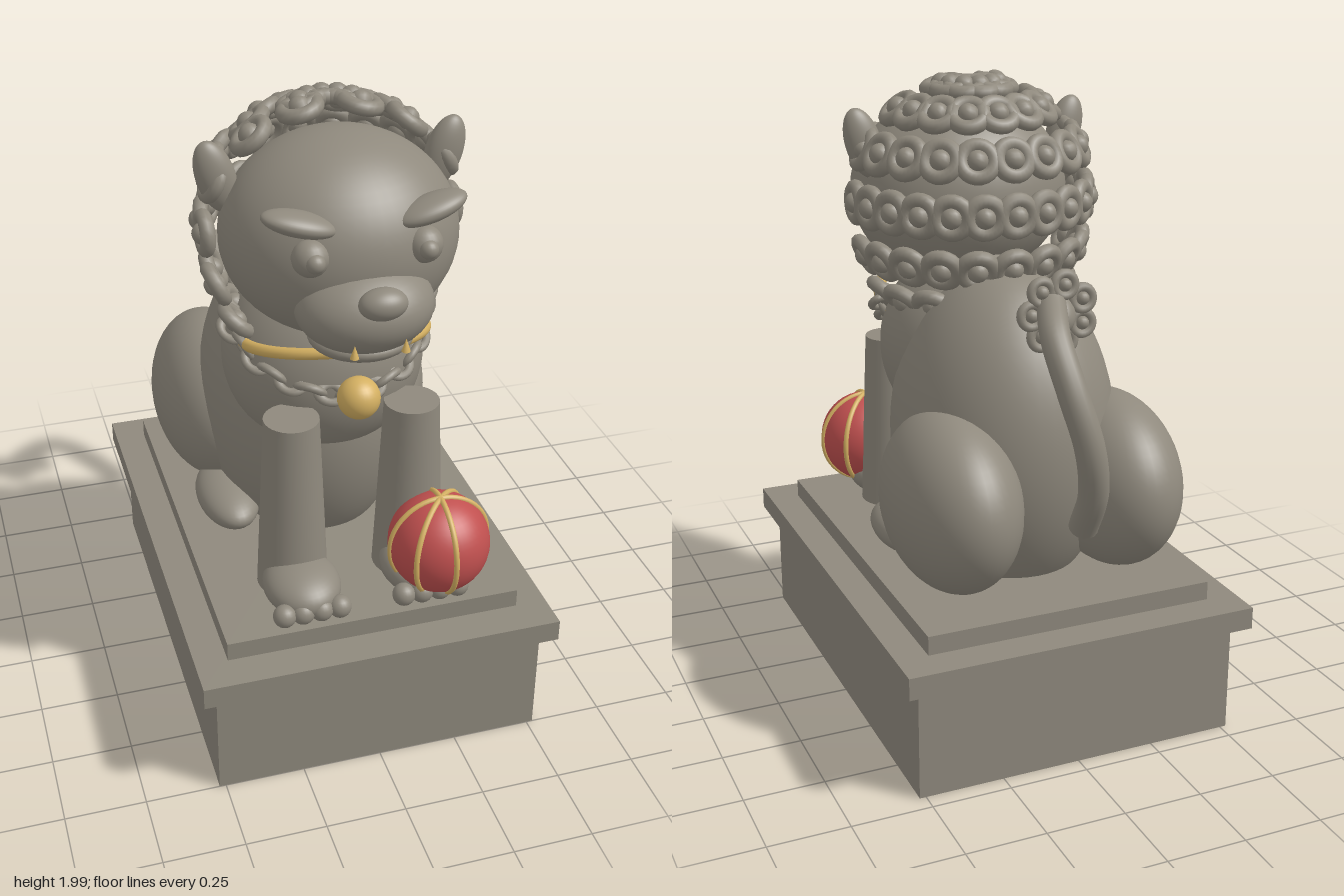
import * as THREE from 'three';

export function createModel() {
  const root = new THREE.Group();
  root.name = 'guardianLion';

  const material = (name, color) => {
    const m = new THREE.MeshStandardMaterial({ color });
    m.name = name;
    return m;
  };
  const stone = material('stone', 0x8f897d);
  const red = material('red', 0xc0504f);
  const gold = material('gold', 0xd4b062);

  const add = (name, geometry, mat, pos, rot = [0, 0, 0], parent = root) => {
    const mesh = new THREE.Mesh(geometry, mat);
    mesh.name = name;
    mesh.position.set(...pos);
    mesh.rotation.set(...rot);
    parent.add(mesh);
    return mesh;
  };
  const box = (name, w, h, d, pos) => add(name, new THREE.BoxGeometry(w, h, d), stone, pos);
  // Ellipsoid given by its three radii
  const blob = (name, r, pos, rot, mat = stone, seg = 36) =>
    add(name, new THREE.SphereGeometry(1, seg, Math.round(seg * 0.65)).scale(...r), mat, pos, rot);
  const ball = (name, r, pos, mat = stone, seg = 20) => blob(name, [r, r, r], pos, [0, 0, 0], mat, seg);

  // Stepped pedestal
  box('pedestalBlock', 1.04, 0.36, 1.445, [0, 0.18, 0.027]);
  box('pedestalSlab', 1.13, 0.07, 1.535, [0, 0.395, 0.022]);
  box('pedestalTop', 0.93, 0.06, 1.315, [0, 0.46, 0.02]);

  // Torso
  blob('body', [0.35, 0.55, 0.415], [0, 0.88, -0.1], [0, 0, 0], stone, 48);
  blob('chest', [0.32, 0.33, 0.3], [0, 1.13, 0.1], [0, 0, 0], stone, 48);

  // Head and muzzle
  blob('head', [0.355, 0.305, 0.33], [0, 1.605, 0.26], [0, 0, 0], stone, 48);
  blob('muzzle', [0.203, 0.132, 0.175], [0, 1.485, 0.51]);
  blob('nose', [0.07, 0.046, 0.05], [0, 1.565, 0.675]);
  blob('lowerJaw', [0.155, 0.052, 0.15], [0, 1.375, 0.48]);

  // Mirrored parts
  for (const s of [1, -1]) {
    const side = s > 0 ? 'left' : 'right';
    ball(side + 'Eye', 0.054, [s * 0.165, 1.66, 0.535]);
    ball(side + 'Pupil', 0.028, [s * 0.163, 1.662, 0.578]);
    blob(side + 'Brow', [0.11, 0.034, 0.06], [s * 0.19, 1.755, 0.51], [0, s * 0.1, s * 0.26]);
    blob(side + 'Ear', [0.058, 0.115, 0.042], [s * 0.345, 1.78, 0.19], [0, 0, -s * 0.3]);
    add(side + 'Fang', new THREE.ConeGeometry(0.013, 0.04, 12), gold, [s * 0.075, 1.42, 0.662]);

    // Front legs, paws and toes
    add(side + 'FrontLeg', new THREE.CylinderGeometry(0.085, 0.112, 0.6, 32), stone, [s * 0.19, 0.78, 0.415]);
    blob(side + 'FrontPaw', [0.12, 0.075, 0.145], [s * 0.19, 0.545, 0.52]);
    for (let i = 0; i < 4; i++) {
      ball(side + 'Toe', 0.036, [s * 0.19 + (i - 1.5) * 0.058, 0.527, 0.64]);
    }

    // Haunches and hind paws
    blob(side + 'Haunch', [0.2, 0.28, 0.33], [s * 0.27, 0.765, -0.325], [0, 0, 0], stone, 44);
    blob(side + 'HindPaw', [0.1, 0.068, 0.185], [s * 0.3, 0.555, 0]);
  }

  // Curl: a ring with a bead in the middle, facing a target point
  const curl = (name, ringR, tubeR, beadR, pos, target) => {
    const g = new THREE.Group();
    g.name = name;
    g.position.set(...pos);
    g.lookAt(...target);
    add('curlRing', new THREE.TorusGeometry(ringR, tubeR, 10, 22), stone, [0, 0, 0], [0, 0, 0], g);
    add('curlBead', new THREE.SphereGeometry(beadR, 14, 10), stone, [0, 0, 0.004], [0, 0, 0], g);
    root.add(g);
  };

  // Mane: half rings of curls round the back of the head [height, radius, count]
  const centre = [0, 1.6, 0.17];
  const rows = [[1.3, 0.29, 9], [1.43, 0.35, 11], [1.6, 0.38, 13], [1.765, 0.35, 11], [1.885, 0.235, 9], [1.95, 0.09, 7]];
  for (const [y, r, n] of rows) {
    for (let i = 0; i < n; i++) {
      const a = (Math.PI * i) / (n - 1);
      const p = [r * Math.cos(a), y, centre[2] - r * Math.sin(a)];
      curl('maneCurl', 0.05, 0.023, 0.034, p, p.map((v, k) => 2 * v - centre[k]));
    }
  }

  // Collar, chain and bell
  add('collar', new THREE.TorusGeometry(0.28, 0.018, 12, 64), gold, [0, 1.245, 0.22], [Math.PI / 2 - 0.28, 0, 0]);
  const v = (x, y, z) => new THREE.Vector3(x, y, z);
  const chainPath = new THREE.CatmullRomCurve3([
    v(-0.31, 1.27, 0.17), v(-0.24, 1.19, 0.29), v(-0.12, 1.145, 0.38), v(0, 1.13, 0.41),
    v(0.12, 1.145, 0.38), v(0.24, 1.19, 0.29), v(0.31, 1.27, 0.17)]);
  const links = 15;
  for (let i = 0; i < links; i++) {
    const t = i / (links - 1);
    const link = add('chainLink', new THREE.TorusGeometry(0.027, 0.013, 10, 20).scale(1.35, 1, 1), stone,
      chainPath.getPointAt(t).toArray());
    link.quaternion.setFromUnitVectors(v(1, 0, 0), chainPath.getTangentAt(t));
    link.rotateX(i % 2 ? 0.8 : -0.8);
  }
  ball('bell', 0.065, [0, 1.155, 0.477], gold, 28);

  // Ball under the left paw, with bands through its poles
  const ballPos = [0.232, 0.662, 0.582];
  ball('playBall', 0.158, ballPos, red, 40);
  for (let i = 0; i < 3; i++) {
    add('ballBand', new THREE.TorusGeometry(0.158, 0.009, 8, 56), gold, ballPos, [0, (i * Math.PI) / 4, 0]);
  }

  // Tail with a rosette near its tip
  const tailPath = new THREE.CatmullRomCurve3([
    v(-0.03, 0.75, -0.635), v(-0.02, 0.89, -0.715), v(0.01, 1.04, -0.745),
    v(0.05, 1.2, -0.71), v(0.06, 1.33, -0.62), v(0.02, 1.4, -0.5)]);
  add('tail', new THREE.TubeGeometry(tailPath, 48, 0.045, 16), stone, [0, 0, 0]);
  add('tailBaseCap', new THREE.CircleGeometry(0.045, 16), stone, [-0.03, 0.75, -0.635])
    .lookAt(tailPath.getPoint(0).sub(tailPath.getTangent(0)));
  blob('tailTip', [0.06, 0.06, 0.085], [0, 1.375, -0.475], [-0.5, 0, 0]);
  for (let i = 0; i < 7; i++) {
    const a = (i / 7) * Math.PI * 2;
    const p = [0.085 * Math.cos(a), 1.375 + 0.085 * Math.sin(a), -0.505];
    curl('tailCurl', 0.033, 0.014, 0.02, p, [p[0], p[1] + 0.1, p[2] - 1]);
  }

  return root;
}
